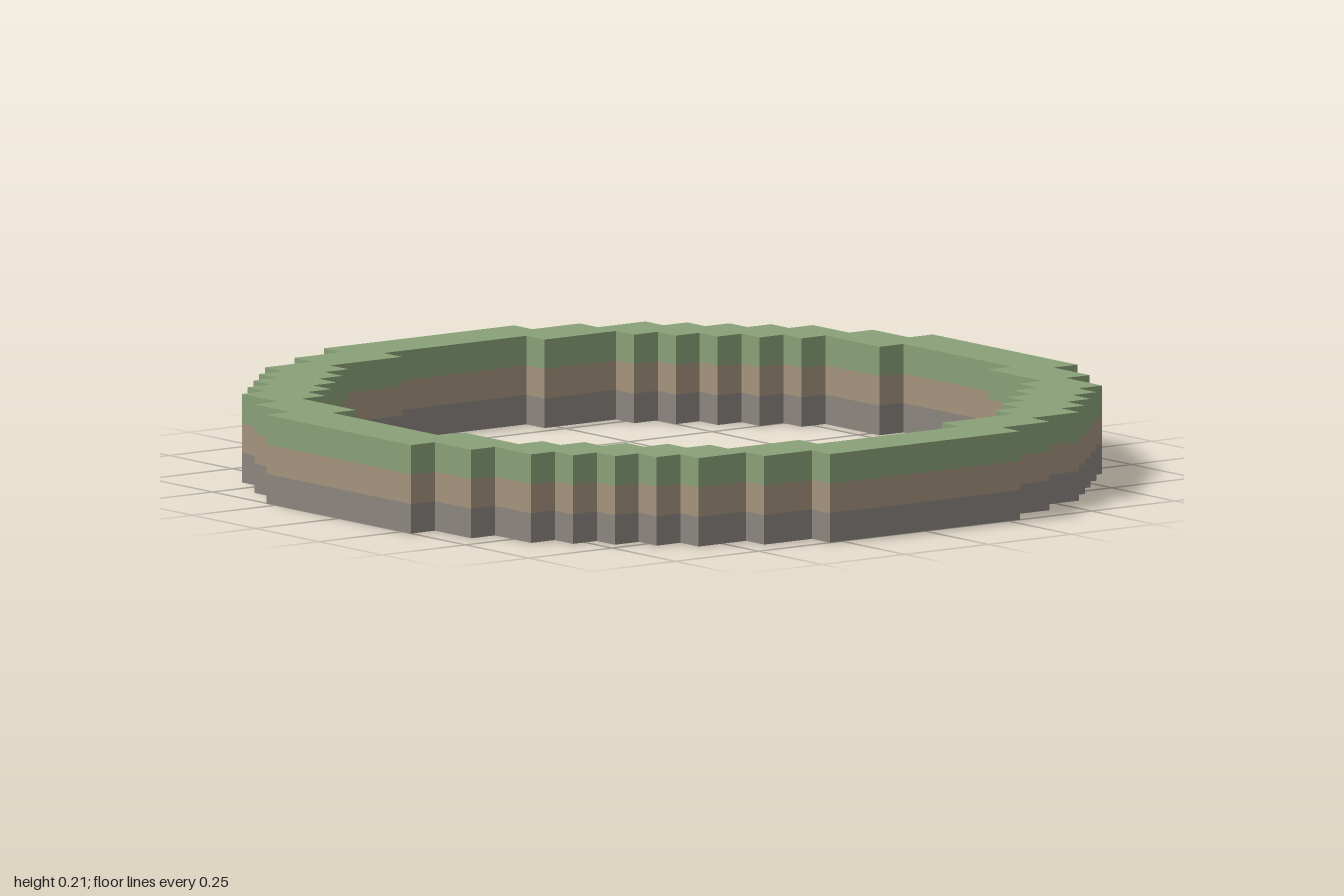
import * as THREE from 'three';

const U = 1 / 14; // one block

// Stepped corner of each outline, in blocks, from the back edge to the side edge
const OUTER = [[4, 14], [4, 13], [6, 13], [6, 12], [8, 12], [8, 11], [9, 11], [9, 10], [10, 10],
  [10, 9], [11, 9], [11, 8], [12, 8], [12, 6], [13, 6], [13, 4], [14, 4]];
const INNER = [[3, 12], [3, 11], [6, 11], [6, 10], [7, 10], [7, 9], [8, 9], [8, 8],
  [9, 8], [9, 7], [10, 7], [10, 6], [11, 6], [11, 3], [12, 3]];

// Repeat a corner by quarter turns into a closed clockwise outline
function outline(corner) {
  const points = [];
  let quarter = corner;
  for (let i = 0; i < 4; i++) {
    points.push(...quarter.map(([x, y]) => new THREE.Vector2(x * U, y * U)));
    quarter = quarter.map(([x, y]) => [y, -x]);
  }
  return points;
}

export function createModel() {
  const group = new THREE.Group();
  group.name = 'blockRing';

  // Outer edge counter-clockwise, hole clockwise, so the walls face outward
  const shape = new THREE.Shape(outline(OUTER).reverse());
  shape.holes.push(new THREE.Path(outline(INNER)));
  const geometry = new THREE.ExtrudeGeometry(shape, { depth: U, bevelEnabled: false });
  geometry.rotateX(-Math.PI / 2);

  // Three stacked layers, bottom to top
  const layers = [['stoneLayer', 0x8c8580], ['earthLayer', 0xa4937c], ['grassLayer', 0x89a178]];
  layers.forEach(([name, color], i) => {
    const mesh = new THREE.Mesh(geometry, new THREE.MeshStandardMaterial({ color, flatShading: true }));
    mesh.name = name;
    mesh.position.y = i * U;
    group.add(mesh);
  });
  return group;
}
